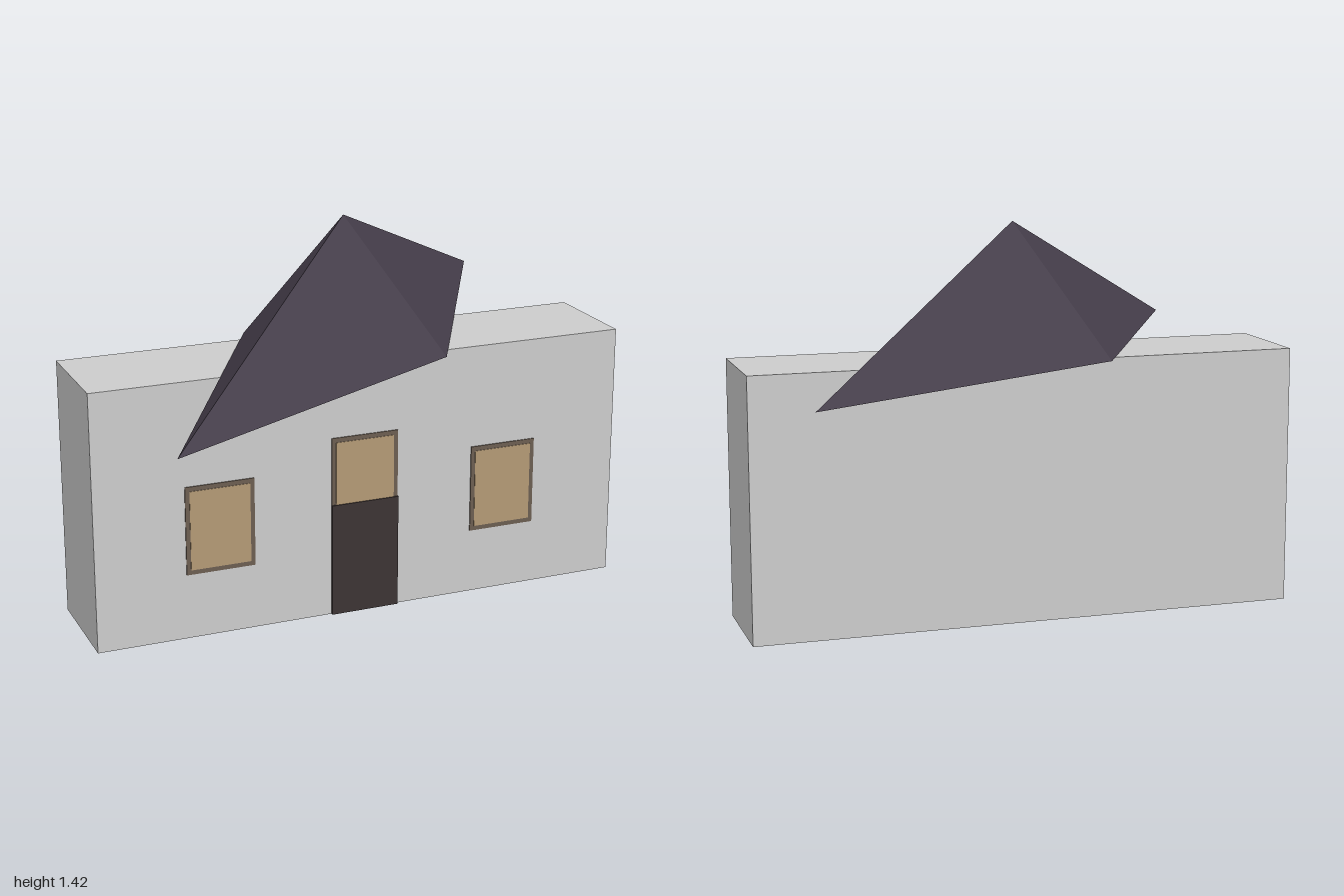
import * as THREE from 'three';

const paint = (color) => new THREE.MeshStandardMaterial({ color, flatShading: true });
const WALL_TOP = 0.945;
const FRONT = 0.2;

export function createModel() {
  const house = new THREE.Group();
  house.name = 'house';
  const wallMat = paint(0xcccccc);
  const roofMat = paint(0x453d4a);
  const doorMat = paint(0x3b3333);
  const frameMat = paint(0x6b5d51);
  const glassMat = paint(0xb39975);

  // Box given by its centre x, bottom y, back z and size
  const block = (name, mat, parent, x, y, z, w, h, d) => {
    const mesh = new THREE.Mesh(new THREE.BoxGeometry(w, h, d), mat);
    mesh.position.set(x, y + h / 2, z + d / 2);
    mesh.name = name;
    parent.add(mesh);
  };

  // Walls
  block('walls', wallMat, house, 0, 0, -0.2, 2, WALL_TOP, 0.4);

  // Four-sided roof, stretched along one diagonal
  const roofGeometry = new THREE.ConeGeometry(1, 0.475, 4);
  roofGeometry.scale(1.303, 1, 0.393);
  roofGeometry.rotateY(Math.PI / 4);
  const roof = new THREE.Mesh(roofGeometry, roofMat);
  roof.position.y = WALL_TOP + 0.475 / 2;
  roof.name = 'roof';
  house.add(roof);

  // Framed windows: one on each side and one above the door
  const addWindow = (name, x, y) => {
    const group = new THREE.Group();
    group.name = name;
    block('windowFrame', frameMat, group, x, y, FRONT, 0.254, 0.326, 0.004);
    block('windowPane', glassMat, group, x, y + 0.017, FRONT, 0.222, 0.292, 0.006);
    house.add(group);
  };
  addWindow('rightWindow', -0.545, 0.24);
  addWindow('leftWindow', 0.545, 0.24);
  addWindow('doorWindow', 0, 0.345);

  // Door
  block('door', doorMat, house, 0, 0, FRONT, 0.256, 0.42, 0.01);

  return house;
}
